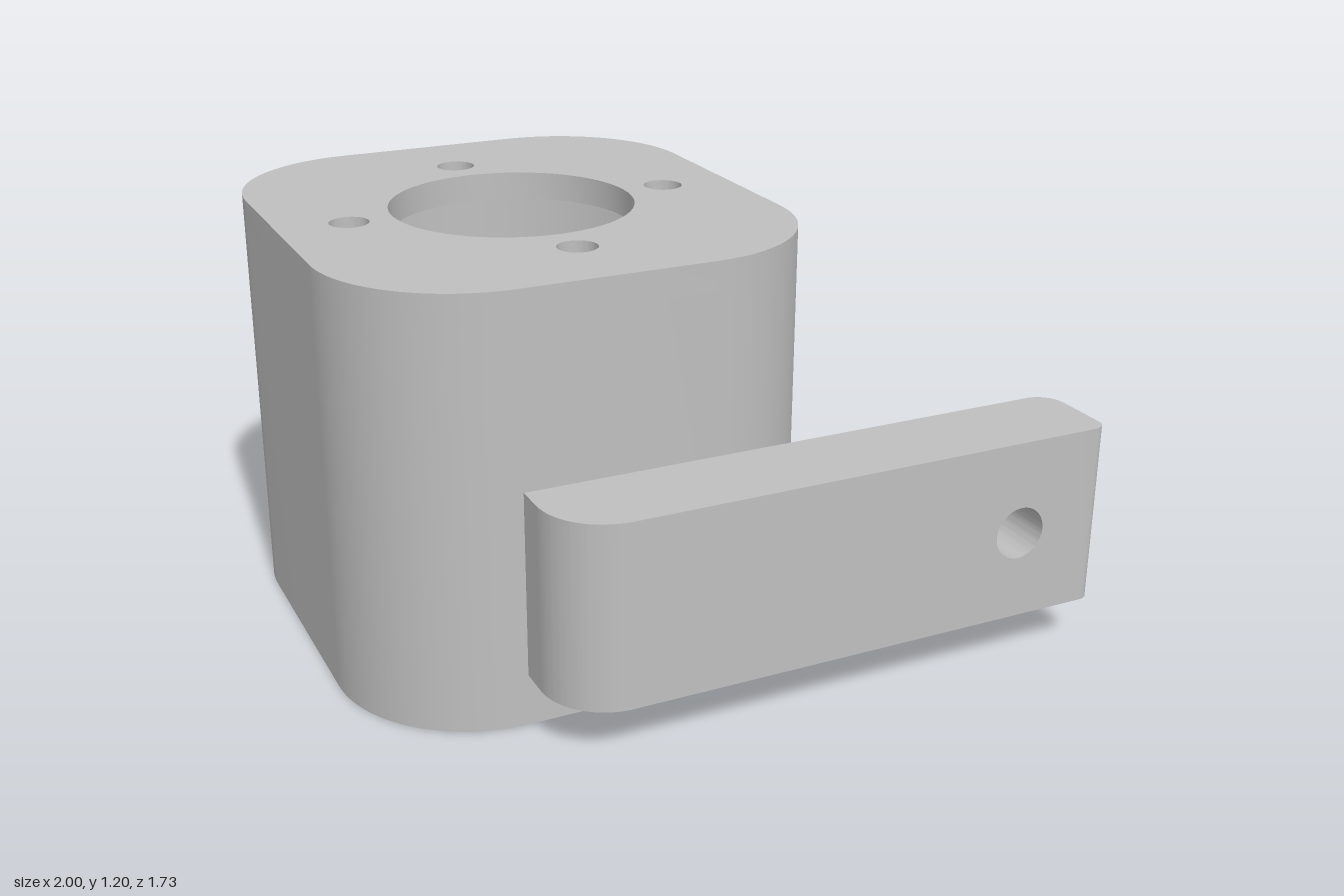
import * as THREE from 'three';
import { toCreasedNormals } from 'three/addons/utils/BufferGeometryUtils.js';

const grey = new THREE.MeshStandardMaterial({ color: 0xbfbfbf });
grey.name = 'grey';

// Closed rectangle with its own radius at each corner: [x0y0, x1y0, x1y1, x0y1]
function roundedRect(x0, y0, x1, y1, [a, b, c, d]) {
  const s = new THREE.Shape();
  const q = Math.PI / 2;
  const corner = (cx, cy, r, sx, sy, start) => {
    if (r > 0) s.absarc(cx + sx * r, cy + sy * r, r, start, start + q, false);
    else s.lineTo(cx, cy);
  };
  s.moveTo(x0 + a, y0);
  corner(x1, y0, b, -1, 1, -q);
  corner(x1, y1, c, -1, -1, 0);
  corner(x0, y1, d, 1, -1, q);
  corner(x0, y0, a, 1, 1, 2 * q);
  return s;
}

function addHole(shape, x, y, r) {
  shape.holes.push(new THREE.Path().absarc(x, y, r, 0, Math.PI * 2, true));
}

function extrude(shape, depth) {
  return new THREE.ExtrudeGeometry(shape, { depth, bevelEnabled: false, curveSegments: 32 });
}

function addMesh(parent, name, geometry) {
  const mesh = new THREE.Mesh(toCreasedNormals(geometry, 0.5), grey);
  mesh.name = name;
  parent.add(mesh);
}

// Plan shapes use (x, -z) and rise from y0 to y1
function upright(shape, y0, y1) {
  return extrude(shape, y1 - y0).rotateX(-Math.PI / 2).translate(0, y0, 0);
}

export function createModel() {
  const model = new THREE.Group();
  model.name = 'motorMount';

  // Housing: wide bore below, thin drilled plate on top
  const cx = -0.333, cy = 0.133, plateY = 1.12;
  const plan = () => roundedRect(-1, -0.6, 0.333, 0.867, [0.4, 0.4, 0.4, 0.4]);

  const wall = plan();
  addHole(wall, cx, cy, 0.573);
  addMesh(model, 'housingWall', upright(wall, 0, plateY));

  const plate = plan();
  addHole(plate, cx, cy, 0.343);
  for (let i = 0; i < 4; i++) {
    const t = i * Math.PI / 2;
    addHole(plate, cx + 0.467 * Math.cos(t), cy + 0.467 * Math.sin(t), 0.055);
  }
  addMesh(model, 'topPlate', upright(plate, plateY, 1.2));

  // Arm: rounded ends either side of a drilled section
  const arm = new THREE.Group();
  arm.name = 'arm';
  model.add(arm);
  const y0 = 0.147, y1 = 0.667, back = 0.6, front = 0.867;
  addMesh(arm, 'armBar', upright(roundedRect(-0.6, -front, 0.6, -back, [0.18, 0, 0, 0]), y0, y1));
  addMesh(arm, 'armTip', upright(roundedRect(0.86, -front, 1, -back, [0, 0.04, 0.073, 0]), y0, y1));

  const drilled = roundedRect(0.6, y0, 0.86, y1, [0, 0, 0, 0]);
  addHole(drilled, 0.733, 0.4, 0.075);
  addMesh(arm, 'armDrilledSection', extrude(drilled, front - back).translate(0, 0, back));

  return model;
}
